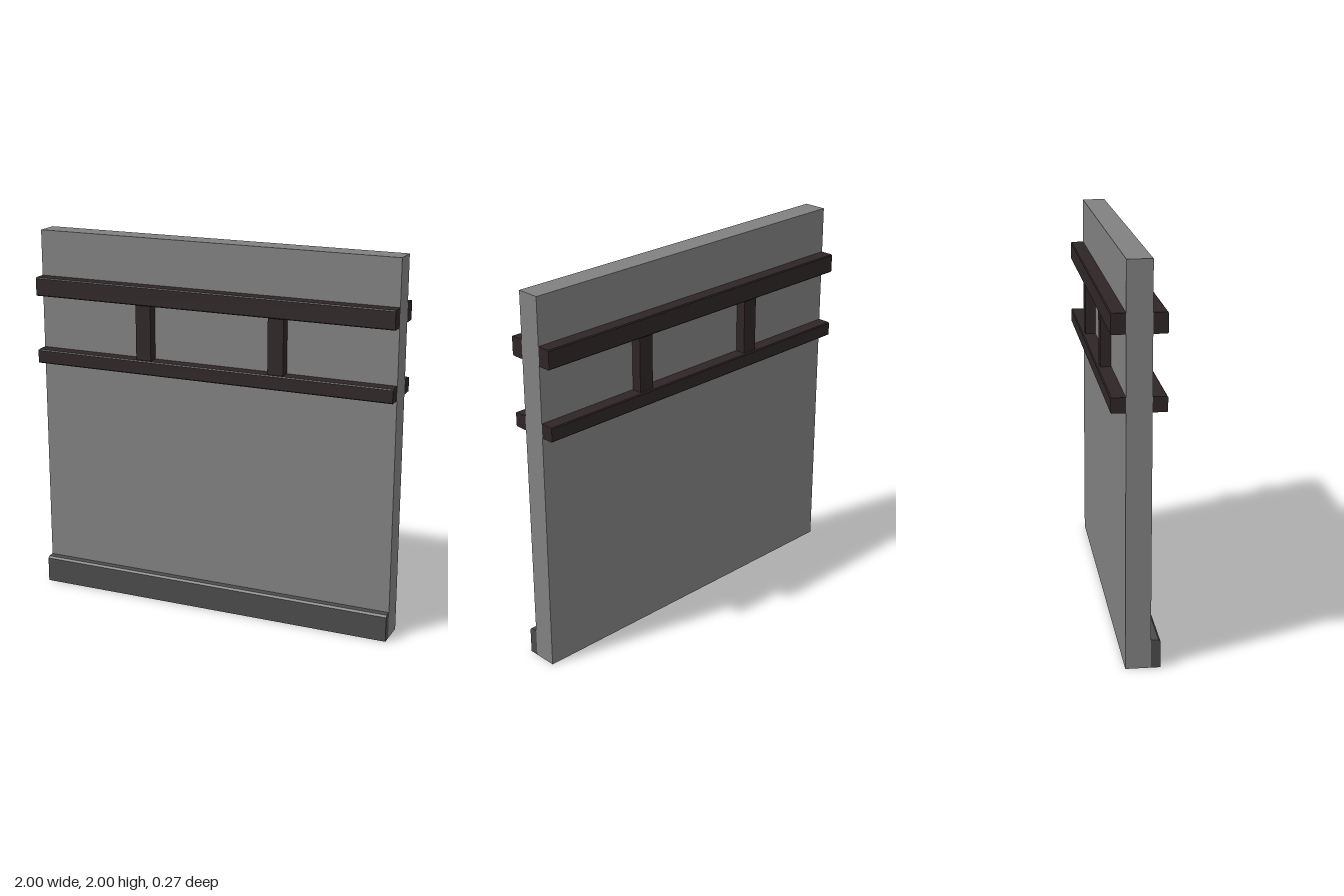
import * as THREE from 'three';

const LENGTH = 2;
const WALL = 0.062; // half thickness of the wall

const wallMat = new THREE.MeshStandardMaterial({ color: 0x808080 });
const skirtingMat = new THREE.MeshStandardMaterial({ color: 0x4b4b4b });
const woodMat = new THREE.MeshStandardMaterial({ color: 0x2f2626 });

// Full-length strip on one wall face, with its outer edges chamfered
function strip(name, material, side, y0, y1, depth, topBevel, bottomBevel) {
  const out = WALL + depth;
  const profile = new THREE.Shape();
  profile.moveTo(WALL, y0);
  profile.lineTo(out - bottomBevel, y0);
  if (bottomBevel) profile.lineTo(out, y0 + bottomBevel);
  profile.lineTo(out, y1 - topBevel);
  profile.lineTo(out - topBevel, y1);
  profile.lineTo(WALL, y1);
  profile.closePath();
  const geometry = new THREE.ExtrudeGeometry(profile, { depth: LENGTH, bevelEnabled: false });
  geometry.translate(0, 0, -LENGTH / 2);
  geometry.rotateY(-side * Math.PI / 2);
  const mesh = new THREE.Mesh(geometry, material);
  mesh.name = name;
  return mesh;
}

function box(name, material, w, h, d, x, y, z) {
  const mesh = new THREE.Mesh(new THREE.BoxGeometry(w, h, d), material);
  mesh.position.set(x, y, z);
  mesh.name = name;
  return mesh;
}

export function createModel() {
  const model = new THREE.Group();
  model.name = 'wallPanel';

  model.add(box('wall', wallMat, LENGTH, 2, WALL * 2, 0, 1, 0));

  // Skirting board on the front only
  model.add(strip('skirtingBoard', skirtingMat, 1, 0, 0.145, 0.047, 0.01, 0));

  // Timber trim on both faces: two rails joined by two short posts
  for (const side of [1, -1]) {
    const trim = new THREE.Group();
    trim.name = side > 0 ? 'frontTrim' : 'backTrim';
    trim.add(strip('upperRail', woodMat, side, 1.655, 1.755, 0.072, 0.005, 0.005));
    trim.add(strip('lowerRail', woodMat, side, 1.285, 1.36, 0.072, 0.005, 0.005));
    for (const x of [-0.372, 0.372]) {
      trim.add(box('post', woodMat, 0.085, 0.295, 0.055, x, 1.5075, side * (WALL + 0.0275)));
    }
    model.add(trim);
  }
  return model;
}
